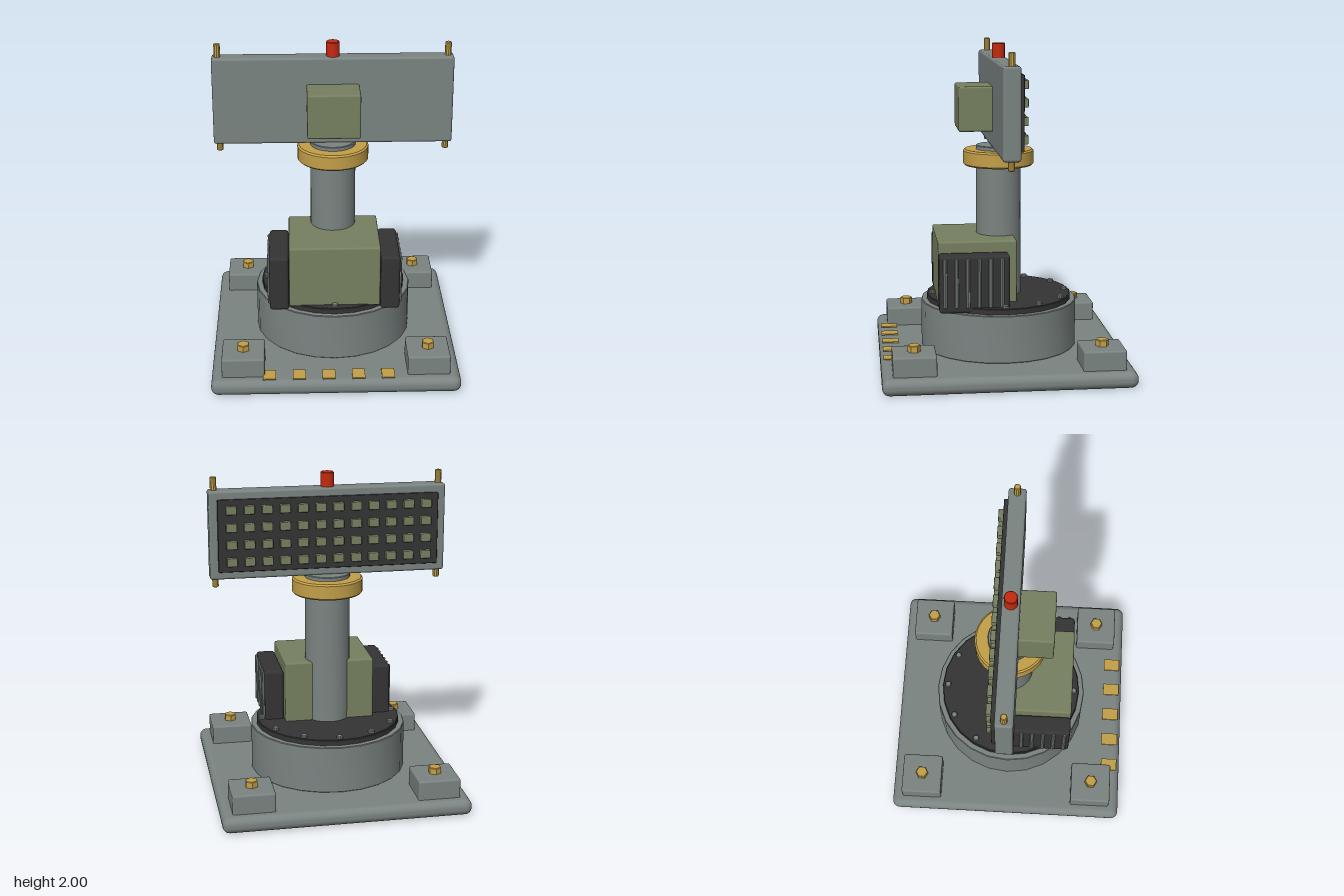
import * as THREE from 'three';
import { toCreasedNormals } from 'three/addons/utils/BufferGeometryUtils.js';
import { RoundedBoxGeometry } from 'three/addons/geometries/RoundedBoxGeometry.js';

function material(name, color) {
  const m = new THREE.MeshStandardMaterial({ color });
  m.name = name;
  return m;
}

export function createModel() {
  const grey = material('steel grey', 0x7b8482);
  const black = material('charcoal', 0x343434);
  const olive = material('olive', 0x76805f);
  const gold = material('brass', 0xc39f48);
  const red = material('beacon red', 0xc42a10);

  const model = new THREE.Group();
  model.name = 'radarUnit';

  function add(name, geometry, mat, x = 0, y = 0, z = 0) {
    const mesh = new THREE.Mesh(geometry, mat);
    mesh.name = name;
    mesh.position.set(x, y, z);
    model.add(mesh);
    return mesh;
  }

  // Soft-edged box given by its extents on each axis
  function box(name, mat, [x0, x1], [y0, y1], [z0, z1], radius = 0.012, segments = 2) {
    const g = new RoundedBoxGeometry(x1 - x0, y1 - y0, z1 - z0, segments, radius);
    return add(name, g, mat, (x0 + x1) / 2, (y0 + y1) / 2, (z0 + z1) / 2);
  }

  // Upright cylinder with a small bevel on both rims
  function drum(name, mat, r, y0, y1, sides, x = 0, z = 0, bevel = 0.004) {
    const profile = [
      [0, y0], [r - bevel, y0], [r, y0 + bevel],
      [r, y1 - bevel], [r - bevel, y1], [0, y1],
    ].map(([a, b]) => new THREE.Vector2(a, b));
    const g = toCreasedNormals(new THREE.LatheGeometry(profile, sides), 0.6);
    return add(name, g, mat, x, 0, z);
  }

  // Base plate, corner pads and hex bolts
  box('basePlate', grey, [-0.76, 0.76], [0, 0.1], [-0.76, 0.76], 0.045, 3);
  for (const sx of [-1, 1]) {
    for (const sz of [-1, 1]) {
      const x = sx * 0.565, z = sz * 0.565;
      box('cornerPad', grey, [x - 0.13, x + 0.13], [0.09, 0.22], [z - 0.13, z + 0.13]);
      drum('padBolt', gold, 0.04, 0.21, 0.26, 6, x, z);
    }
  }

  // Marking plates along the front edge
  for (let i = 0; i < 5; i++) {
    add('markingPlate', new THREE.BoxGeometry(0.078, 0.008, 0.105), gold, -0.405 + i * 0.18, 0.109, 0.688);
  }

  // Turntable with its ring of bolts
  drum('turntableDrum', grey, 0.49, 0.1, 0.395, 24);
  drum('turntableDisc', black, 0.455, 0.39, 0.43, 24);
  for (let i = 0; i < 12; i++) {
    const a = (i / 12) * Math.PI * 2;
    drum('discBolt', grey, 0.02, 0.42, 0.447, 10, Math.sin(a) * 0.42, Math.cos(a) * 0.42);
  }

  // Mast and collar
  drum('mast', grey, 0.14, 0.42, 1.37, 32);
  drum('mastCollar', gold, 0.22, 1.245, 1.345, 32, 0, 0, 0.01);

  // Equipment housing with a ribbed radiator on each side
  box('equipmentHousing', olive, [-0.28, 0.28], [0.42, 0.815], [-0.085, 0.4]);
  for (const s of [-1, 1]) {
    const xs = s > 0 ? [0.283, 0.402] : [-0.402, -0.283];
    box('radiator', black, xs, [0.395, 0.75], [-0.03, 0.4], 0.02);
    for (let i = 0; i < 6; i++) {
      drum('radiatorRib', grey, 0.012, 0.43, 0.735, 8, s * 0.402, 0.365 - i * 0.069);
    }
  }

  // Antenna panel, back face and feed box
  box('antennaPanel', grey, [-0.73, 0.73], [1.365, 1.91], [-0.053, 0.053], 0.015);
  box('arrayBacking', black, [-0.68, 0.68], [1.415, 1.86], [-0.077, -0.04], 0.006);
  box('feedBox', olive, [-0.16, 0.16], [1.47, 1.745], [0.04, 0.26]);

  // Grid of array elements
  const element = new RoundedBoxGeometry(0.065, 0.052, 0.045, 1, 0.006);
  for (let row = 0; row < 4; row++) {
    for (let col = 0; col < 12; col++) {
      add('arrayElement', element, olive, (col - 5.5) * 0.109, 1.48 + row * 0.1065, -0.084);
    }
  }

  // Edge rods and beacon
  for (const s of [-1, 1]) drum('edgeRod', gold, 0.02, 1.31, 1.99, 10, s * 0.695, 0);
  drum('beacon', red, 0.04, 1.9, 2.0, 20);

  return model;
}
